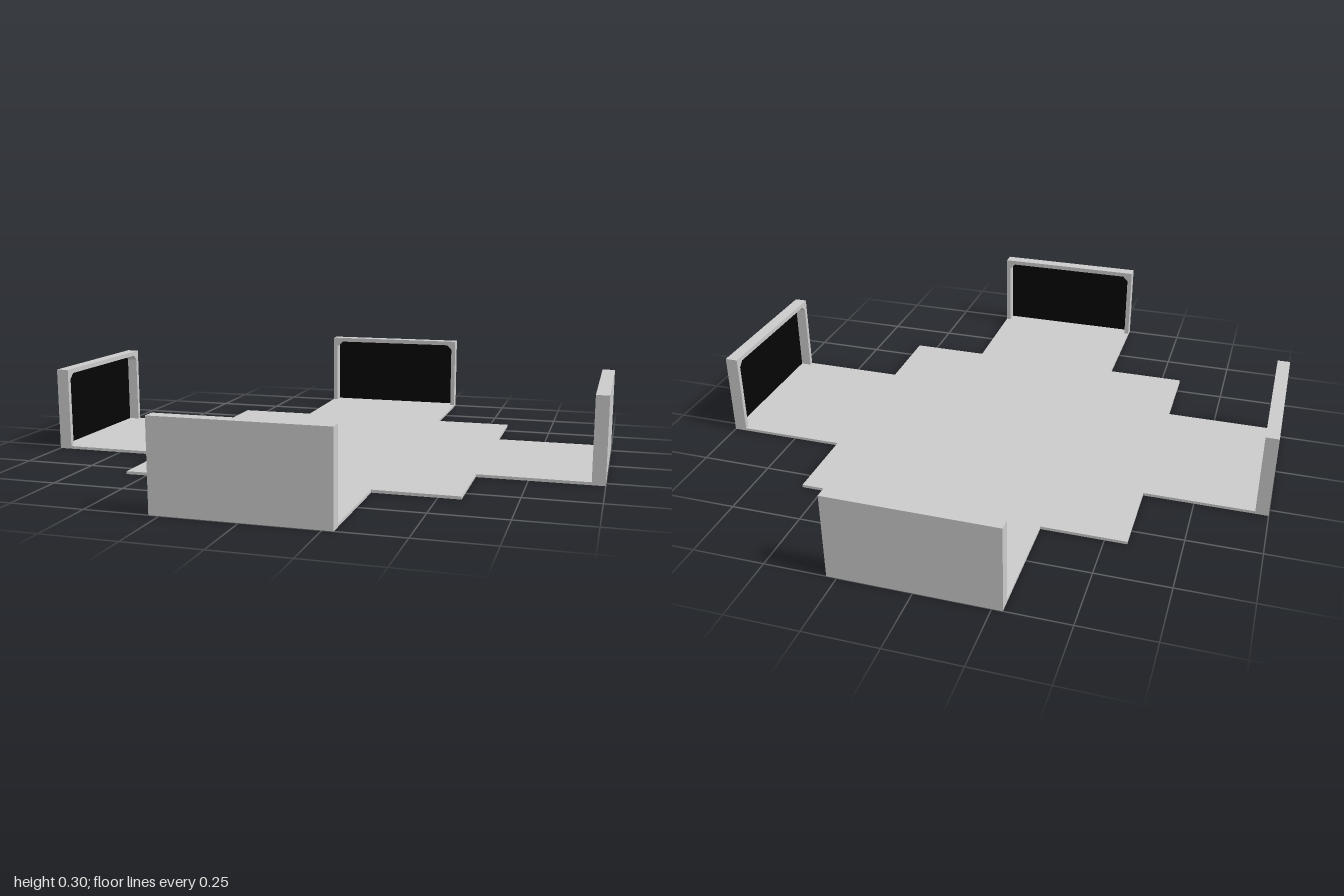
import * as THREE from 'three';

const ARM = 0.285;    // half width of the arms and walls
const CORE = 0.575;   // half width of the central square
const FLOOR = 0.01;   // floor thickness
const TOP = 0.3;      // wall height
const WALL = 0.045;   // wall thickness
const BACK = 0.005;   // thickness of the plate behind each screen
const RIM = 0.017;    // rim around each screen
const CUT = 0.02;     // cut corners of the rim opening

const grey = new THREE.MeshStandardMaterial({ color: 0xcccccc });
const black = new THREE.MeshStandardMaterial({ color: 0x050505 });

function add(parent, name, geometry, material = grey) {
  const mesh = new THREE.Mesh(geometry, material);
  mesh.name = name;
  parent.add(mesh);
  return mesh;
}

function extrude(points, depth) {
  const shape = new THREE.Shape(points.map(([x, y]) => new THREE.Vector2(x, y)));
  return new THREE.ExtrudeGeometry(shape, { depth, bevelEnabled: false });
}

// Stepped cross outline, one quarter turned four times
function floorGeometry() {
  const quarter = [[1, -ARM], [1, ARM], [CORE, ARM], [CORE, CORE], [ARM, CORE]];
  const points = [];
  for (let i = 0; i < 4; i++) {
    const c = Math.round(Math.cos(i * Math.PI / 2));
    const s = Math.round(Math.sin(i * Math.PI / 2));
    for (const [x, y] of quarter) points.push([x * c - y * s, x * s + y * c]);
  }
  return extrude(points, FLOOR).rotateX(-Math.PI / 2);
}

// Wall at the back edge, its open recess facing the middle
function createWall() {
  const wall = new THREE.Group();
  const inX = ARM - RIM, inY = TOP - RIM;

  // Rim: sides and top only, open at the floor
  const rim = extrude([
    [-ARM, FLOOR], [-inX, FLOOR], [-inX, inY - CUT], [-inX + CUT, inY],
    [inX - CUT, inY], [inX, inY - CUT], [inX, FLOOR], [ARM, FLOOR],
    [ARM, TOP], [-ARM, TOP],
  ], WALL - BACK);
  add(wall, 'wallRim', rim).position.z = -1 + BACK;

  // Outer plate
  const plate = new THREE.BoxGeometry(2 * ARM, TOP - FLOOR, BACK);
  add(wall, 'wallBack', plate).position.set(0, (TOP + FLOOR) / 2, -1 + BACK / 2);

  // Dark panel at the bottom of the recess
  const panel = new THREE.PlaneGeometry(2 * inX, inY - FLOOR);
  add(wall, 'darkPanel', panel, black).position.set(0, (inY + FLOOR) / 2, -1 + BACK + 0.001);
  return wall;
}

export function createModel() {
  const model = new THREE.Group();
  model.name = 'crossPlatform';
  add(model, 'floor', floorGeometry());

  ['backWall', 'rightWall', 'frontWall', 'leftWall'].forEach((name, i) => {
    const wall = createWall();
    wall.name = name;
    wall.rotation.y = i * Math.PI / 2;
    model.add(wall);
  });
  return model;
}
